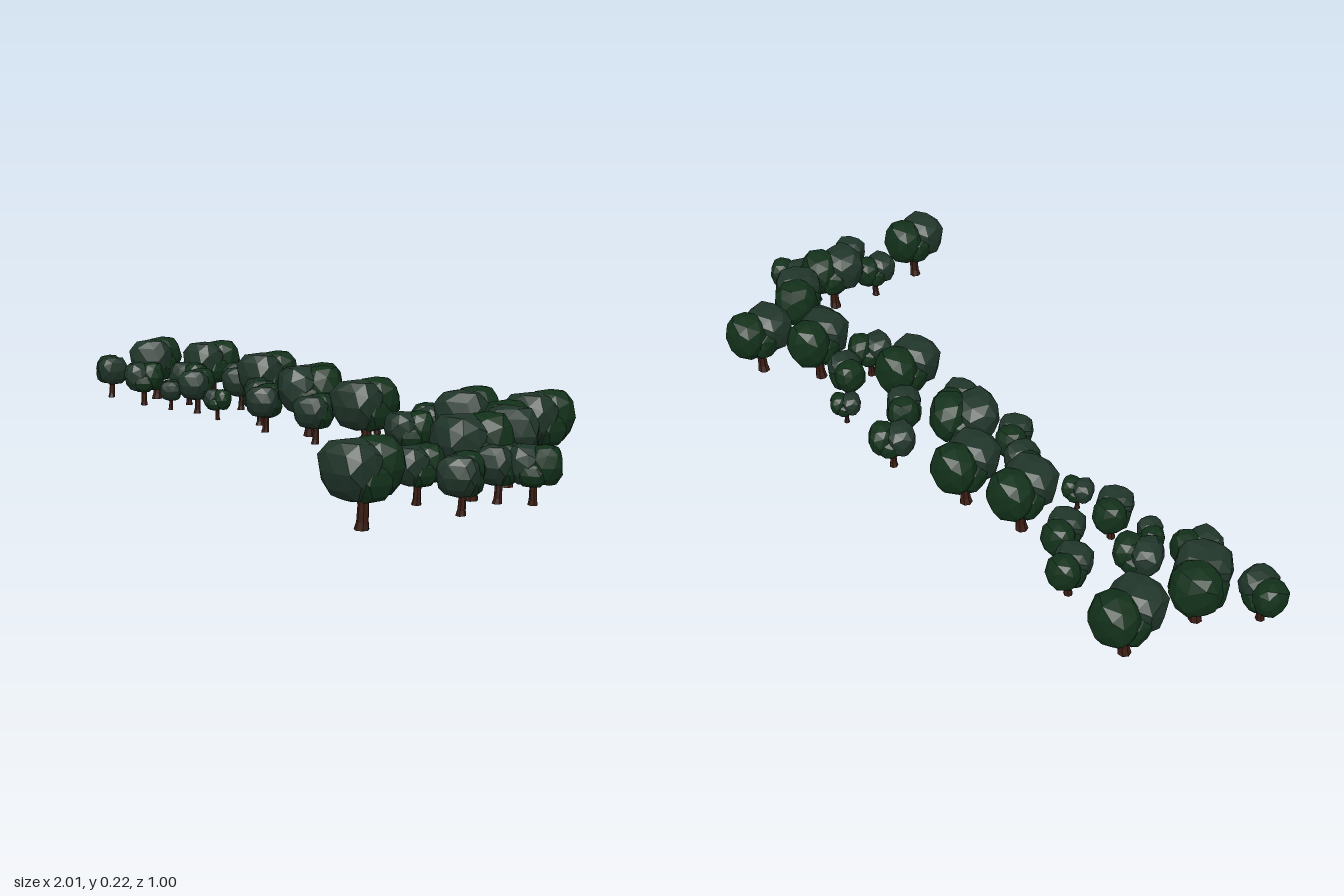
import * as THREE from 'three';

const leafDark = new THREE.MeshStandardMaterial({ color: 0x12301a, flatShading: true });
const leafGrey = new THREE.MeshStandardMaterial({ color: 0x20352a, flatShading: true });
const bark = new THREE.MeshStandardMaterial({ color: 0x3a1c12, flatShading: true });

// Boxy, slightly irregular leaf lump that exactly fills the given radii
function lump(radii, seed) {
  const geo = new THREE.IcosahedronGeometry(1, 1);
  geo.rotateY(seed);
  const p = geo.attributes.position;
  const v = new THREE.Vector3();
  const square = (n) => Math.sign(n) * Math.abs(n) ** 0.8;
  for (let i = 0; i < p.count; i++) {
    v.fromBufferAttribute(p, i);
    const wobble = 1 + 0.06 * Math.sin(v.x * 5 + seed * 3) * Math.cos(v.y * 4 + v.z * 6 + seed);
    const taper = v.y < 0 ? 1 + 0.12 * v.y : 1; // narrower underside
    p.setXYZ(i, square(v.x) * wobble * taper, square(v.y) * wobble, square(v.z) * wobble * taper);
  }
  geo.center();
  geo.computeBoundingBox();
  geo.boundingBox.getSize(v);
  geo.scale((2 * radii[0]) / v.x, (2 * radii[1]) / v.y, (2 * radii[2]) / v.z);
  geo.computeVertexNormals();
  return geo;
}

// Trunk: tapered, flared at the foot and a little bent
function trunkGeometry() {
  const profile = [[0, 0], [0.19, 0], [0.15, 0.2], [0.14, 0.6], [0.17, 0.95], [0.12, 1.3], [0, 1.3]];
  const geo = new THREE.LatheGeometry(profile.map(([r, y]) => new THREE.Vector2(r, y)), 7);
  const p = geo.attributes.position;
  for (let i = 0; i < p.count; i++) {
    p.setX(i, p.getX(i) + 0.05 * Math.sin(p.getY(i) * 3));
  }
  return geo;
}

// Lumps of one crown: centre, radii, material, for a tree with a crown half-length of 1
const lumps = [
  { at: [0.04, 1.5, -0.4], radii: [0.7, 0.73, 0.6], material: leafDark },
  { at: [-0.04, 1.46, 0.33], radii: [0.76, 0.75, 0.67], material: leafGrey },
  { at: [0.3, 1.2, 0.05], radii: [0.48, 0.5, 0.55], material: leafDark },
  { at: [-0.3, 1.25, -0.12], radii: [0.46, 0.5, 0.5], material: leafDark },
].map((l, i) => ({ ...l, geo: lump(l.radii, i * 1.3 + 0.4) }));
const trunkGeo = trunkGeometry();

function makeTree() {
  const tree = new THREE.Group();
  tree.name = 'tree';
  const trunk = new THREE.Mesh(trunkGeo, bark);
  trunk.name = 'trunk';
  tree.add(trunk);
  const crown = new THREE.Group();
  crown.name = 'crown';
  for (const { geo, at, material } of lumps) {
    const mesh = new THREE.Mesh(geo, material);
    mesh.name = 'leafLump';
    mesh.position.set(...at);
    crown.add(mesh);
  }
  tree.add(crown);
  return tree;
}

// Stands of equal-sized trees; each spot is x, z, turn
const stands = [
  { name: 'tallTreesLow', size: 0.092, base: 0, spots: [
    [-0.757, -0.408, 0], [-0.12, -0.285, 0.1], [0.79, 0.405, 0],
  ] },
  { name: 'tallTrees', size: 0.092, base: 0.018, spots: [
    [-0.31, -0.275, 0.1], [0.715, -0.29, 0], [-0.825, -0.225, 0.5], [0, -0.165, -0.6],
    [0.28, -0.11, 0.1], [0.565, -0.195, 0.3], [0.78, -0.09, 0.9], [0.815, 0.08, -0.3],
  ] },
  { name: 'mediumTrees', size: 0.063, base: 0.02, spots: [
    [-0.55, -0.37, 0.3], [-0.46, -0.29, 0.4], [0.11, -0.33, -0.7], [-0.938, -0.12, 1.3],
    [-0.735, -0.11, -0.5], [-0.645, -0.225, -1.1], [-0.5, -0.145, 0.5], [-0.215, -0.16, 1.2],
    [-0.12, -0.1, 0.6], [0.105, -0.09, 0.3], [0.185, -0.215, 0.9], [0.425, -0.21, 1.3],
    [0.46, -0.09, -0.5], [0.66, -0.115, 0.5], [0.88, 0.065, 0.2], [0.942, 0.015, -0.9],
    [0.77, 0.213, -0.1], [0.9, 0.212, 0.5],
  ] },
  { name: 'smallTrees', size: 0.043, base: 0.02, spots: [
    [0.345, -0.29, -0.7], [-0.605, -0.12, 1], [-0.365, -0.12, -1.1],
  ] },
];

export function createModel() {
  const model = new THREE.Group();
  model.name = 'grove';
  for (const { name, size, base, spots } of stands) {
    const stand = new THREE.Group();
    stand.name = name;
    for (const [x, z, turn] of spots) {
      const tree = makeTree();
      tree.position.set(x, base, z);
      tree.rotation.y = turn;
      tree.scale.setScalar(size);
      stand.add(tree);
    }
    model.add(stand);
  }
  return model;
}
